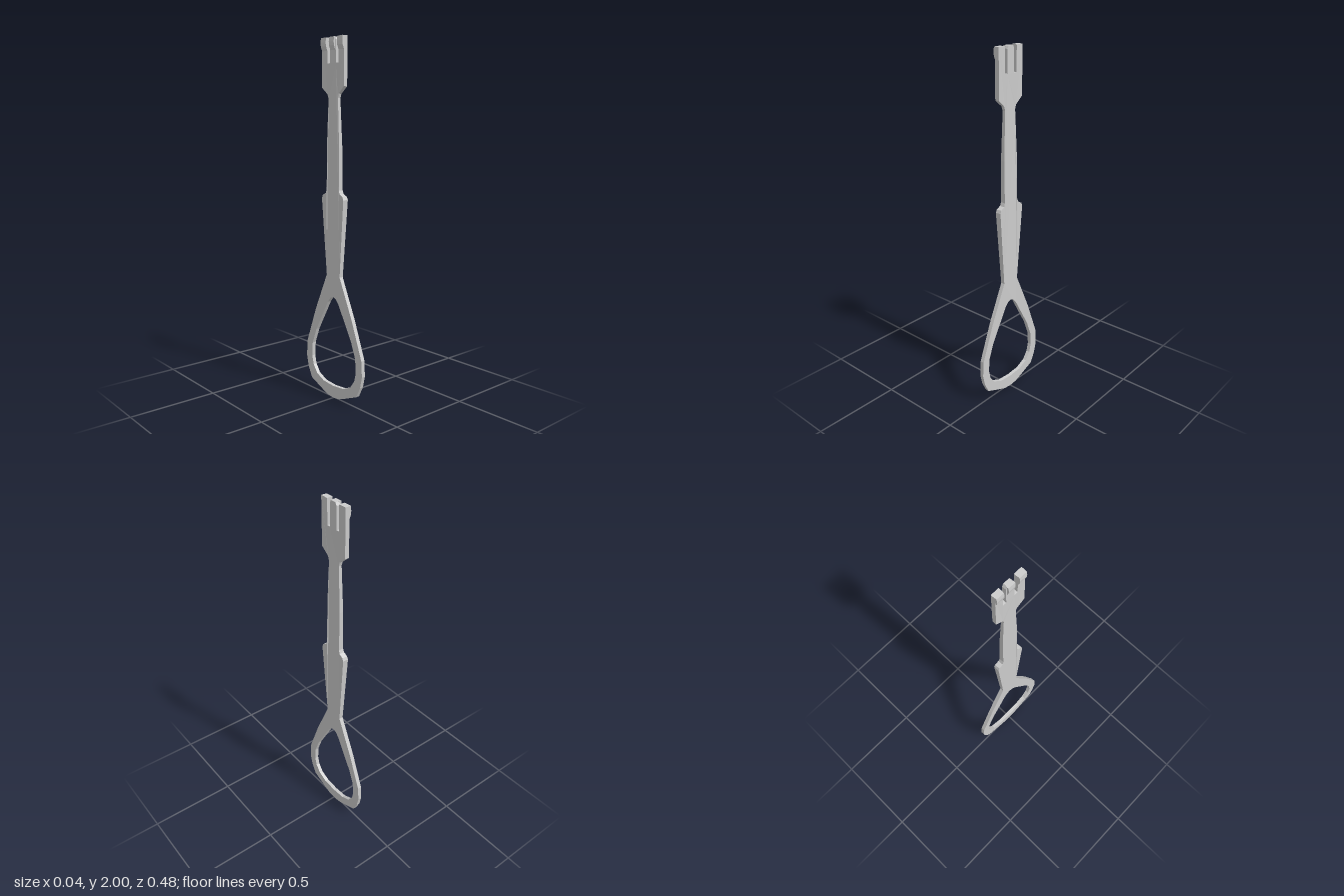
import * as THREE from 'three';

const material = new THREE.MeshStandardMaterial({ color: 0xcccccc, flatShading: true });

// Half outlines as [z, y], from bottom to top
const outerHalf = [
  [0, 0], [0.05, 0.006], [0.1, 0.025], [0.195, 0.065], [0.225, 0.125], [0.24, 0.19], [0.235, 0.28],
  [0.155, 0.49], [0.055, 0.71], [0.09, 1.14], [0.083, 1.157], [0.058, 1.17], [0.051, 1.19],
  [0.051, 1.42], [0.039, 1.68], [0.046, 1.703], [0.09, 1.74], [0.09, 2],
  [0.045, 2], [0.045, 1.865], [0.025, 1.865], [0.025, 1.985], [0.017, 2],
];
const holeHalf = [
  [0, 0.07], [0.085, 0.077], [0.145, 0.105], [0.178, 0.15], [0.19, 0.2], [0.185, 0.28],
  [0.15, 0.37], [0.045, 0.555], [0.022, 0.582], [0, 0.59],
];

// Faces of the plate as [y, back x, front x]
const faces = [
  [0, -0.008, 0.012], [0.28, -0.009, 0.014], [0.71, -0.009, 0.014], [1.14, -0.014, 0.019],
  [1.19, -0.012, 0.016], [1.68, -0.008, 0.009], [1.74, -0.012, 0.012], [2, -0.01, 0.013],
];

function mirrored(half) {
  const other = half.filter(([z]) => z > 0).reverse().map(([z, y]) => [-z, y]);
  return [...half, ...other].map(([z, y]) => new THREE.Vector2(z, y));
}

function faceX(y, side) {
  let i = 1;
  while (i < faces.length - 1 && y > faces[i][0]) i++;
  const a = faces[i - 1], b = faces[i];
  return THREE.MathUtils.mapLinear(y, a[0], b[0], a[side], b[side]);
}

export function createModel() {
  const group = new THREE.Group();

  // Plate with fork, shaft, grip and ring handle
  const outline = new THREE.Shape(mirrored(outerHalf));
  outline.holes.push(new THREE.Path(mirrored(holeHalf)));
  const plate = new THREE.ExtrudeGeometry(outline, { depth: 1, bevelEnabled: false });
  plate.rotateY(-Math.PI / 2);
  const pos = plate.attributes.position;
  for (let i = 0; i < pos.count; i++) {
    pos.setX(i, faceX(pos.getY(i), pos.getX(i) < -0.5 ? 1 : 2));
  }
  plate.computeVertexNormals();
  const body = new THREE.Mesh(plate, material);
  body.name = 'forkAndRingHandle';
  group.add(body);

  // Small hooked lip on the tip of each tine
  const lip = new THREE.Shape([[-0.005, 1.93], [-0.005, 2], [-0.019, 2], [-0.022, 1.975], [-0.02, 1.955], [-0.01, 1.93]]
    .map(([x, y]) => new THREE.Vector2(x, y)));
  for (const [z, width] of [[-0.0675, 0.043], [0, 0.04], [0.0675, 0.043]]) {
    const geometry = new THREE.ExtrudeGeometry(lip, { depth: width, bevelEnabled: false });
    geometry.translate(0, 0, z - width / 2);
    const hook = new THREE.Mesh(geometry, material);
    hook.name = 'tineHook';
    group.add(hook);
  }
  return group;
}
